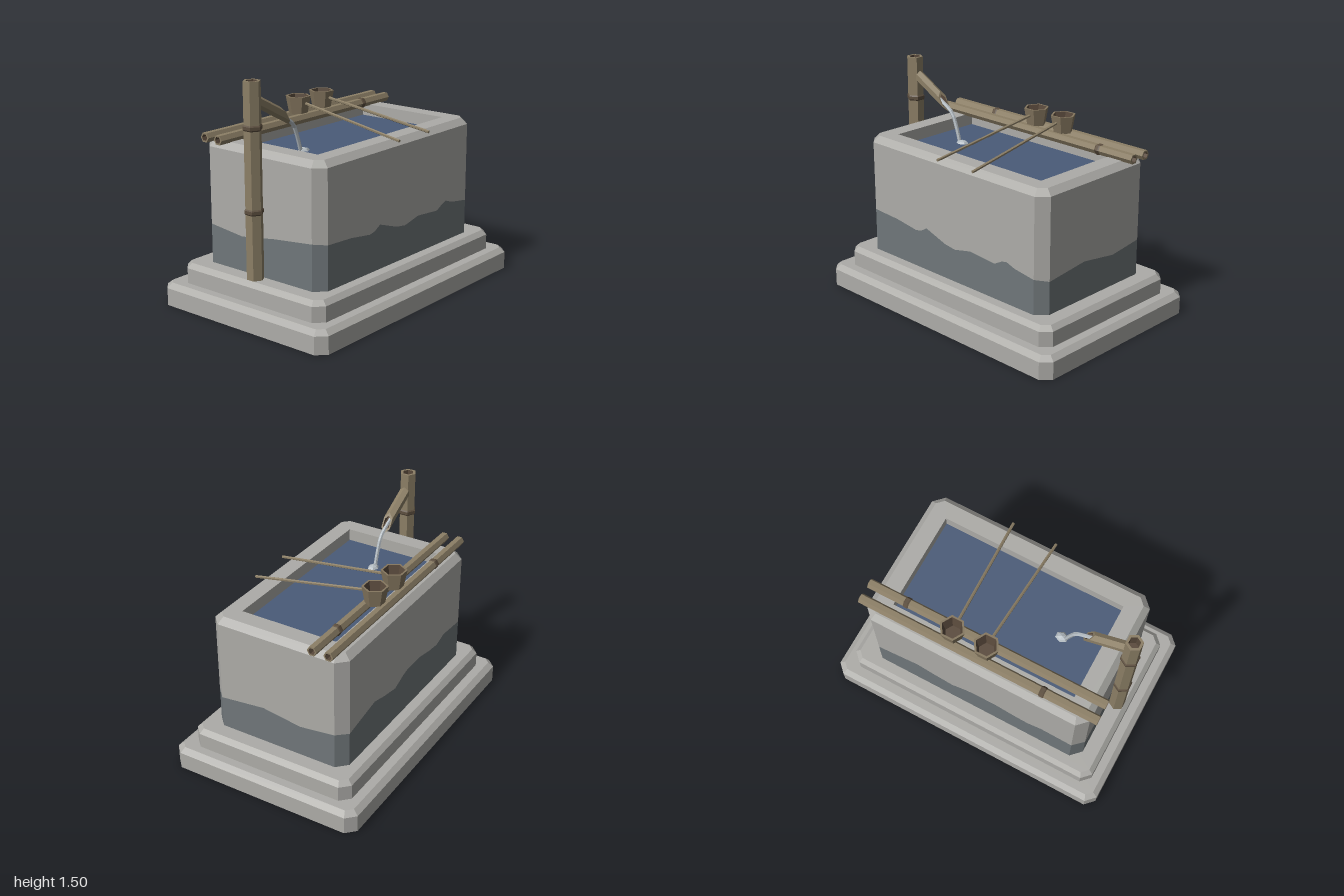
import * as THREE from 'three';

const mat = (name, color) => new THREE.MeshStandardMaterial({ name, color });
const V = (x, y, z) => new THREE.Vector3(x, y, z);
const UP = V(0, 1, 0);

// Faceted normals
function flat(geo) {
  const g = geo.index ? geo.toNonIndexed() : geo;
  g.computeVertexNormals();
  return g;
}

function add(parent, name, geo, material) {
  const m = new THREE.Mesh(flat(geo), material);
  m.name = name;
  parent.add(m);
  return m;
}

// Rectangle with cut corners as [x, z] points, anticlockwise from the front left
const octagon = (w, d, c) => [[-w + c, d], [w - c, d], [w, d - c], [w, c - d],
  [w - c, -d], [c - w, -d], [-w, c - d], [-w, d - c]];
const rectangle = (w, d) => [[-w, d], [w, d], [w, -d], [-w, -d]];
const lift = (loop, y) => loop.map(([x, z]) => V(x, y, z));

// Closed band of quads between two loops of points
function band(lower, upper) {
  const pts = [];
  lower.forEach((a, i) => {
    const j = (i + 1) % lower.length;
    pts.push(a, lower[j], upper[j], a, upper[j], upper[i]);
  });
  return new THREE.BufferGeometry().setFromPoints(pts);
}

// Flat face bounded by a loop, with an optional hole
function cap(loop, y, hole, down = false) {
  const shape = new THREE.Shape(loop.map(([x, z]) => new THREE.Vector2(x, -z)));
  if (hole) shape.holes.push(new THREE.Path(hole.map(([x, z]) => new THREE.Vector2(x, -z))));
  const g = new THREE.ShapeGeometry(shape);
  return g.rotateX(down ? Math.PI / 2 : -Math.PI / 2).translate(0, y, 0);
}

const lathe = (profile, start = 0) =>
  new THREE.LatheGeometry(profile.map(([r, y]) => new THREE.Vector2(r, y)), 6, start);

export function createModel() {
  const stone = mat('stone', 0xadaca8);
  const damp = mat('damp stone', 0x70777a);
  const water = mat('water', 0x4a5b78);
  const stream = mat('running water', 0xb4bcc2);
  const bamboo = mat('bamboo', 0x8c7f66);
  const joint = mat('bamboo joint', 0x5e5040);
  const hollow = mat('bamboo hollow', 0x5a4a3c);
  const wood = mat('ladle wood', 0x85775f);
  const model = new THREE.Group();
  model.name = 'waterBasin';

  // Two bevelled plinth steps
  function step(name, w, d, y0, y1, bevel) {
    const g = new THREE.Group();
    g.name = name;
    const outer = octagon(w, d, 0.06);
    const inner = octagon(w - bevel, d - bevel, 0.06 - bevel * 0.59);
    add(g, 'underside', cap(outer, y0, null, true), stone);
    add(g, 'sides', band(lift(outer, y0), lift(outer, y1 - 0.03)), stone);
    add(g, 'bevel', band(lift(outer, y1 - 0.03), lift(inner, y1)), stone);
    add(g, 'top', cap(inner, y1), stone);
    model.add(g);
  }
  step('lowerStep', 1, 0.67, 0, 0.145, 0.035);
  step('upperStep', 0.91, 0.575, 0.145, 0.275, 0.03);

  // Basin walls, split along a wavy damp line: [position along side, height]
  const W = 0.785, D = 0.48, C = 0.067;
  const front = [[-0.718, 0.562], [-0.5, 0.55], [-0.32, 0.525], [-0.27, 0.535], [-0.22, 0.565], [-0.13, 0.535],
    [-0.05, 0.508], [0.04, 0.495], [0.18, 0.525], [0.39, 0.508], [0.45, 0.54], [0.49, 0.552], [0.56, 0.528], [0.718, 0.505]];
  const right = [[0.413, 0.492], [0.1, 0.525], [-0.17, 0.485], [-0.413, 0.515]];
  const back = [[0.718, 0.51], [0.5, 0.55], [0.42, 0.565], [0.3, 0.535], [0.16, 0.51], [0.06, 0.55], [0, 0.565],
    [-0.17, 0.565], [-0.3, 0.54], [-0.4, 0.53], [-0.5, 0.56], [-0.718, 0.545]];
  const left = [[-0.413, 0.53], [-0.15, 0.5], [0.12, 0.54], [0.413, 0.57]];
  const line = [
    ...front.map(([x, h]) => V(x, h, D)), ...right.map(([z, h]) => V(W, h, z)),
    ...back.map(([x, h]) => V(x, h, -D)), ...left.map(([z, h]) => V(-W, h, z))];
  const atHeight = (y) => line.map((p) => V(p.x, y, p.z));
  const basin = new THREE.Group();
  basin.name = 'basin';
  model.add(basin);
  add(basin, 'dampWall', band(atHeight(0.275), line), damp);
  add(basin, 'upperWall', band(line, atHeight(1.03)), stone);

  // Basin rim, inner walls and water
  const rim = octagon(W - 0.04, D - 0.04, C - 0.024);
  const opening = rectangle(0.635, 0.335);
  add(basin, 'rimBevel', band(lift(octagon(W, D, C), 1.03), lift(rim, 1.07)), stone);
  add(basin, 'rim', cap(rim, 1.07, opening), stone);
  add(basin, 'innerWall', band(lift(opening, 1.07), lift(opening, 0.97)), stone);
  add(basin, 'waterSurface', cap(opening, 0.99), water);

  // Hollow six-sided bamboo cane standing on y = 0, with joint rings
  function cane(name, length, r, rings) {
    const g = new THREE.Group();
    g.name = name;
    const i = r * 0.68, deep = 0.1;
    add(g, 'cane', lathe([[i, 0], [r, 0], [r, length], [i, length]]), bamboo);
    add(g, 'topHollow', lathe([[i, length], [i, length - deep], [0, length - deep]]), hollow);
    add(g, 'bottomHollow', lathe([[0, deep], [i, deep], [i, 0]]), hollow);
    for (const y of rings) {
      add(g, 'jointRing', lathe([[r, y - 0.018], [r * 1.12, y - 0.01], [r * 1.12, y + 0.01], [r, y + 0.018]]), joint);
    }
    model.add(g);
    return g;
  }
  cane('post', 1.225, 0.055, [0.43, 0.945]).position.set(-0.832, 0.275, 0);

  // Pair of canes lying across the rim
  for (const [name, z, ring] of [['frontRail', -0.29, 1.39], ['backRail', -0.402, 0.38]]) {
    const rail = cane(name, 1.665, 0.033, [ring]);
    rail.rotation.z = -Math.PI / 2;
    rail.position.set(-0.835, 1.095, z);
  }

  // Spout: slanted cane, upright where it meets the post and cut back at the mouth
  const from = V(-0.8, 1.375, 0), to = V(-0.553, 1.242, 0);
  const len = from.distanceTo(to);
  const tilt = Math.atan2(to.y - from.y, to.x - from.x);
  function spoutSkin(profile) {
    const g = lathe(profile, Math.PI / 2).rotateZ(-Math.PI / 2);
    const p = g.attributes.position;
    for (let i = 0; i < p.count; i++) {
      const slant = p.getX(i) > len / 2 ? -1.7 : -0.54;
      p.setX(i, p.getX(i) + slant * p.getY(i));
    }
    return g.rotateZ(tilt).translate(from.x, from.y, 0);
  }
  const spout = new THREE.Group();
  spout.name = 'spout';
  model.add(spout);
  add(spout, 'spoutCane', spoutSkin([[0.036, 0], [0.036, len], [0.025, len]]), bamboo);
  add(spout, 'spoutHollow', spoutSkin([[0.025, len], [0.025, 0], [0, 0]]), hollow);

  // Falling water and its splash
  const path = new THREE.CatmullRomCurve3([V(-0.6, 1.25, 0), V(-0.53, 1.215, 0), V(-0.475, 1.175, 0),
    V(-0.44, 1.1, 0), V(-0.405, 0.99, 0)]);
  add(model, 'waterStream', new THREE.TubeGeometry(path, 8, 0.013, 6), stream);
  const splash = add(model, 'splash', lathe([[0.045, 0], [0.032, 0.012], [0, 0.022]]), stream);
  splash.position.set(-0.38, 0.99, 0);
  splash.scale.z = 0.8;

  // Ladles: six-sided cups on the rails with long handles
  for (const [x, endX] of [[-0.035, -0.07], [0.2, 0.238]]) {
    const ladle = new THREE.Group();
    ladle.name = 'ladle';
    const cup = new THREE.Group();
    cup.name = 'cup';
    cup.position.set(x, 1.12, -0.345);
    const turn = Math.PI / 2;
    add(cup, 'cupOutside', lathe([[0, 0], [0.062, 0], [0.084, 0.115], [0.07, 0.115]], turn), wood);
    add(cup, 'cupInside', lathe([[0.07, 0.115], [0.052, 0.015], [0, 0.015]], turn), hollow);
    const a = V(x, 1.19, -0.278), b = V(endX, 1.07, 0.51);
    const handle = add(ladle, 'handle', new THREE.CylinderGeometry(0.01, 0.01, a.distanceTo(b), 6), bamboo);
    handle.position.copy(a).lerp(b, 0.5);
    handle.quaternion.setFromUnitVectors(UP, b.clone().sub(a).normalize());
    ladle.add(cup);
    model.add(ladle);
  }
  return model;
}
